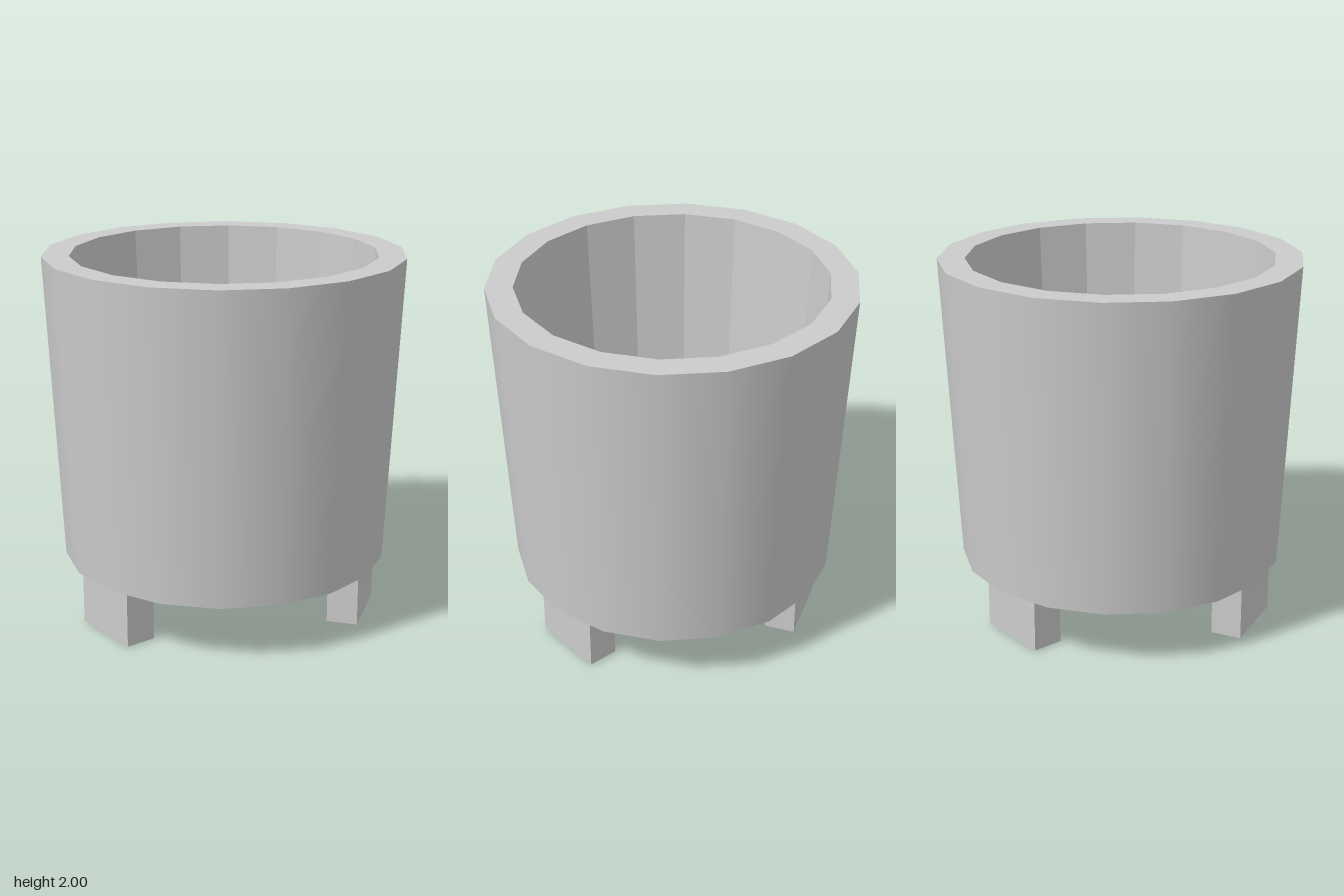
import * as THREE from 'three';

const SIDES = 18;
const FLOOR = 0.32; // underside of the tub

// Ring of revolution with a corner on the x axis
function lathe(name, points, flatShading) {
  const geometry = new THREE.LatheGeometry(points.map(([r, y]) => new THREE.Vector2(r, y)), SIDES);
  geometry.rotateY(Math.PI / 2);
  const mesh = new THREE.Mesh(geometry, new THREE.MeshStandardMaterial({ color: 0xcccccc, flatShading }));
  mesh.name = name;
  return mesh;
}

export function createModel() {
  const group = new THREE.Group();
  group.name = 'footedTub';

  // Smooth tapered outside, faceted rim and hollow, flat underside
  group.add(lathe('outerWall', [[0.895, FLOOR], [0.977, 2]], false));
  group.add(lathe('rimAndInside', [[0.977, 2], [0.83, 2], [0.758, 0.48], [0, 0.48]], true));
  group.add(lathe('underside', [[0, FLOOR], [0.895, FLOOR]], true));

  // Three block feet, each facing outwards: x, z, turn in degrees
  const footGeometry = new THREE.BoxGeometry(0.42, FLOOR, 0.17);
  const feet = [
    ['frontFoot', 0, 0.735, 0],
    ['backLeftFoot', 0.57, -0.45, 125.7],
    ['backRightFoot', -0.65, -0.275, -114.5],
  ];
  for (const [name, x, z, turn] of feet) {
    const foot = new THREE.Mesh(footGeometry, new THREE.MeshStandardMaterial({ color: 0xcccccc }));
    foot.name = name;
    foot.position.set(x, FLOOR / 2, z);
    foot.rotation.y = THREE.MathUtils.degToRad(turn);
    group.add(foot);
  }
  return group;
}
